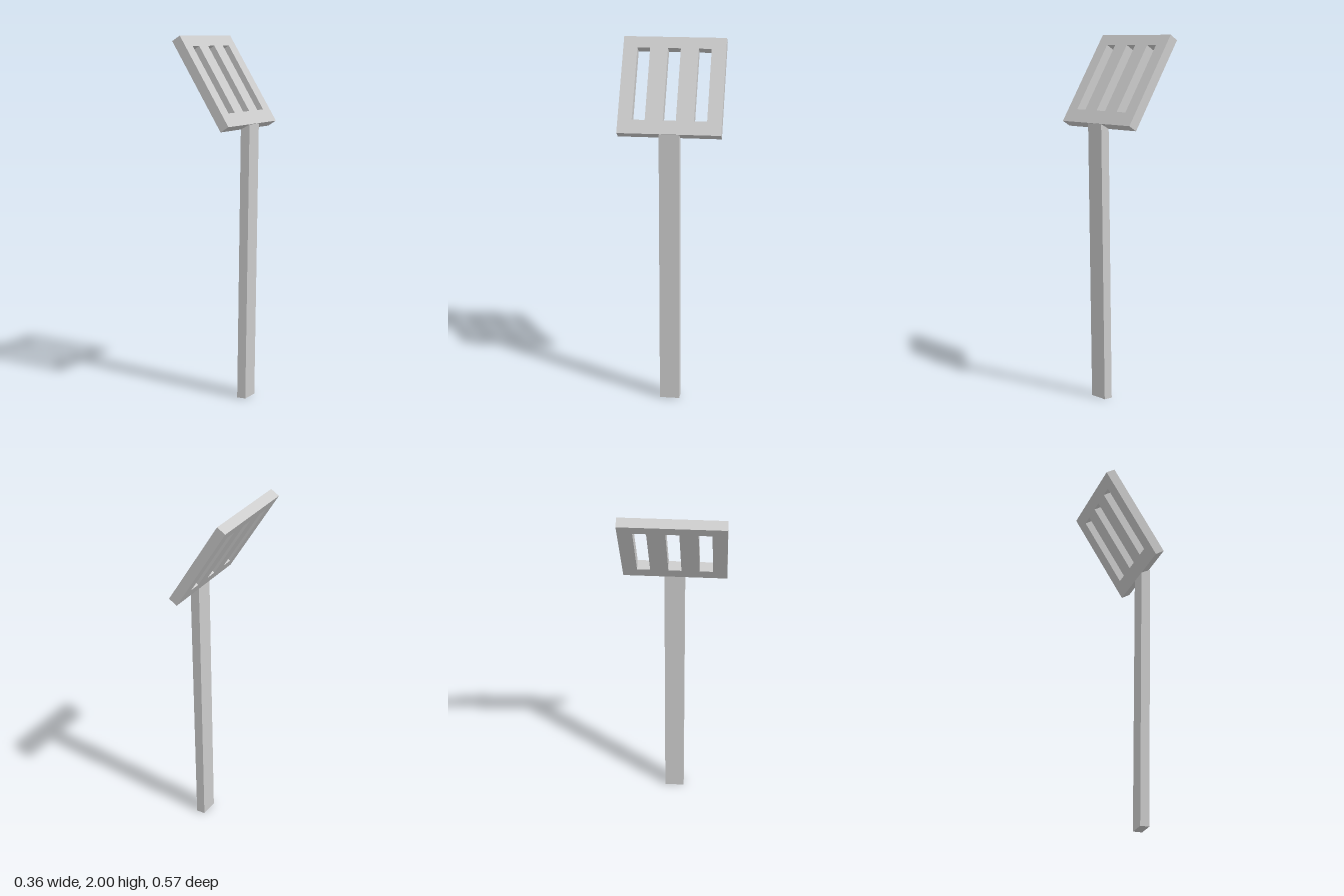
import * as THREE from 'three';

const material = new THREE.MeshStandardMaterial({ color: 0xcccccc, flatShading: true });

function addPart(group, name, geometry) {
  const mesh = new THREE.Mesh(geometry, material);
  mesh.name = name;
  group.add(mesh);
}

// Axis-aligned rectangle, as points for an outline or a hole
function rectangle(x0, x1, y0, y1) {
  return [[x0, y0], [x1, y0], [x1, y1], [x0, y1]].map(([x, y]) => new THREE.Vector2(x, y));
}

export function createModel() {
  const group = new THREE.Group();
  group.name = 'slottedTurner';

  // Handle: slim, slightly leaning bar, cut at the slope of the head's lower edge
  const handleWidth = 0.11;
  const side = new THREE.Shape([[0.102, 0], [0.153, 0], [0.175, 1.526], [0.122, 1.499]]
    .map(([x, y]) => new THREE.Vector2(x, y)));
  const handle = new THREE.ExtrudeGeometry(side, { depth: handleWidth, bevelEnabled: false });
  handle.translate(0, 0, -handleWidth / 2 - 0.003);
  addPart(group, 'handle', handle);

  // Head: flat plate with three long slots, drawn as (distance up the slope, z)
  const length = 0.556, halfWidth = 0.28, thickness = 0.055;
  const plate = new THREE.Shape(rectangle(0, length, -halfWidth, halfWidth));
  for (const z of [-0.166, 0.001, 0.168]) {
    plate.holes.push(new THREE.Path(rectangle(0.078, 0.491, z - 0.035, z + 0.035)));
  }
  const head = new THREE.ExtrudeGeometry(plate, { depth: thickness, bevelEnabled: false });
  head.translate(0, 0, -thickness);

  // Lean the plate back from the top of the handle
  const lean = 0.553;
  const up = new THREE.Vector3(-Math.sin(lean), Math.cos(lean), 0);
  const across = new THREE.Vector3(0, 0, 1);
  const outward = new THREE.Vector3().crossVectors(up, across);
  head.applyMatrix4(new THREE.Matrix4().makeBasis(up, across, outward).setPosition(0.169, 1.527, 0));
  addPart(group, 'slottedHead', head);

  // The whole utensil is turned a touch about the vertical
  group.rotation.y = 0.032;
  return group;
}
